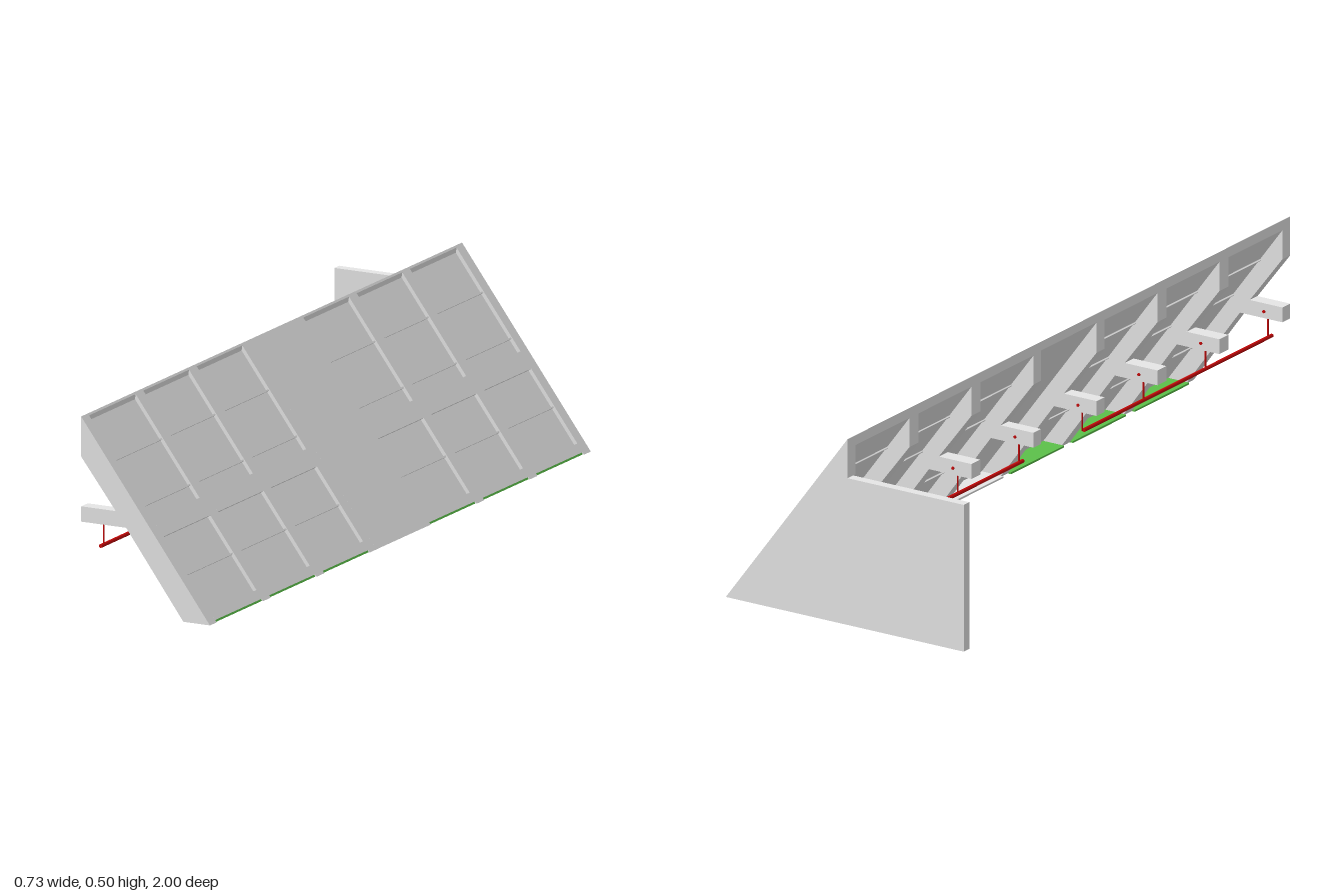
import * as THREE from 'three';

function flat(name, color) {
  const material = new THREE.MeshStandardMaterial({ color });
  material.name = name;
  return material;
}
const concrete = flat('concrete grey', 0xe6e6e6);
const green = flat('planting green', 0x5cc04a);
const red = flat('pipe red', 0xc80808);

// Slope frame: s runs down the outer face from the ridge, d goes inward.
const LEN = 0.623, TX = 0.597, TY = 0.8023;
function slopePoint(s, d) {
  // trimmed to the vertical ridge cut and the ground
  const c = Math.min(Math.max(s, d * TY / TX), LEN - d * TX / TY);
  return [-0.01 + TX * c - TY * d, 0.5 - TY * c - TX * d];
}

export function createModel() {
  const model = new THREE.Group();

  // prism with an x-y outline between two z values
  function prism(name, points, z0, z1, material = concrete) {
    const shape = new THREE.Shape(points.map(p => new THREE.Vector2(p[0], p[1])));
    const geo = new THREE.ExtrudeGeometry(shape, { depth: z1 - z0, bevelEnabled: false });
    const mesh = new THREE.Mesh(geo, material);
    mesh.name = name;
    mesh.position.z = z0;
    model.add(mesh);
  }
  // plate lying along the slope
  function slab(name, s0, s1, d0, d1, z0, z1) {
    prism(name, [slopePoint(s0, d0), slopePoint(s0, d1), slopePoint(s1, d1), slopePoint(s1, d0)], z0, z1);
  }
  function rod(name, r, x, y, z, length, alongZ) {
    const mesh = new THREE.Mesh(new THREE.CylinderGeometry(r, r, length, 12), red);
    mesh.name = name;
    mesh.position.set(x, y, z);
    if (alongZ) mesh.rotation.x = Math.PI / 2;
    model.add(mesh);
  }

  // end wall
  prism('endWall', [[-0.365, 0], [0.362, 0], [-0.01, 0.5], [-0.01, 0.395], [-0.365, 0.395]], -1, -0.975);

  // sloping ribs with horizontal arms
  const ribProfile = [[-0.01, 0.5], [-0.01, 0.395], [0.09, 0.265], [-0.01, 0.265],
    [-0.01, 0.225], [0.12, 0.225], [0.285, 0], [0.362, 0]];
  const ribs = [[-0.975, -0.965], [-0.72, -0.68], [-0.44, -0.4], [-0.16, -0.125],
    [0.125, 0.16], [0.4, 0.44], [0.68, 0.72], [0.965, 1]];
  ribs.forEach(([a, b]) => prism('rib', ribProfile, a, b));

  // plain central bay
  slab('centralSkin', 0, LEN, 0, 0.014, -0.125, 0.125);

  // window bays: each row has its opening and the positions of its slats
  const rows = [
    { s0: 0.006, s1: 0.315, slats: [0.137, 0.274] },
    { s0: 0.367, s1: 0.59, slats: [0.479] }
  ];
  for (let i = 0; i < ribs.length - 1; i++) {
    const z0 = ribs[i][1], z1 = ribs[i + 1][0];
    const central = i === 3;
    // floor strip at the foot of the bay, planted except in the middle
    prism(central ? 'floorStrip' : 'plantedStrip',
      [[0.275, 0], [0.358, 0], [0.355, 0.005], [0.275, 0.005]], z0, z1, central ? concrete : green);
    if (central) continue;
    slab('topBeam', 0, rows[0].s0, 0, 0.016, z0, z1);
    slab('middleBeam', rows[0].s1, rows[1].s0, 0, 0.016, z0, z1);
    slab('bottomBeam', rows[1].s1, LEN - 0.007, 0, 0.016, z0, z1);
    for (const { s0, s1, slats } of rows) {
      slab('windowPanel', s0, s1, 0.01, 0.016, z0, z1);
      slats.forEach(s => slab('slat', s - 0.002, s + 0.002, 0.003, 0.02, z0, z1));
    }
  }

  // red pipes hung under the arms, with a pin in each arm
  rod('pipe', 0.005, 0.046, 0.168, -0.55, 0.85, true);
  rod('pipe', 0.005, 0.046, 0.168, 0.575, 0.85, true);
  for (const [a, b] of ribs) {
    rod('pipeHanger', 0.002, 0.046, 0.197, (a + b) / 2, 0.056, false);
    rod('pin', 0.004, 0.046, 0.243, a, 0.006, true);
  }

  return model;
}
